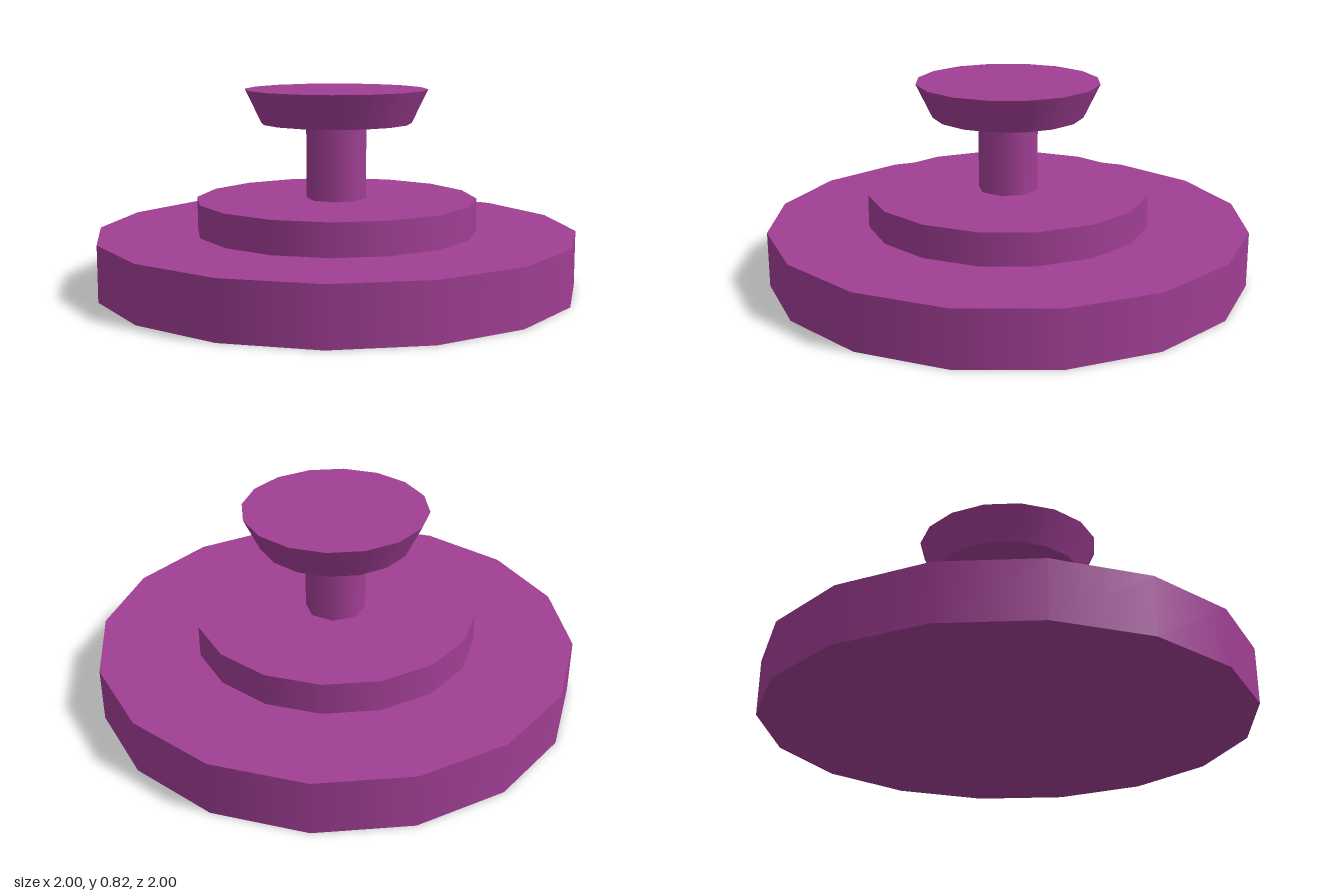
import * as THREE from 'three';

export function createModel() {
  const model = new THREE.Group();
  const purple = new THREE.MeshStandardMaterial({ color: 0xa03e94 });
  purple.name = 'purple';

  // Round section standing between heights y0 and y1
  function addSection(name, bottomRadius, topRadius, y0, y1, sides) {
    const geometry = new THREE.CylinderGeometry(topRadius, bottomRadius, y1 - y0, sides);
    const mesh = new THREE.Mesh(geometry, purple);
    mesh.name = name;
    mesh.position.y = (y0 + y1) / 2;
    model.add(mesh);
  }

  addSection('base', 1, 1, 0, 0.23, 16);
  addSection('upperTier', 0.585, 0.585, 0.23, 0.365, 16);
  addSection('post', 0.125, 0.125, 0.365, 0.68, 8);
  addSection('flaredHead', 0.313, 0.38, 0.68, 0.82, 16);

  return model;
}
